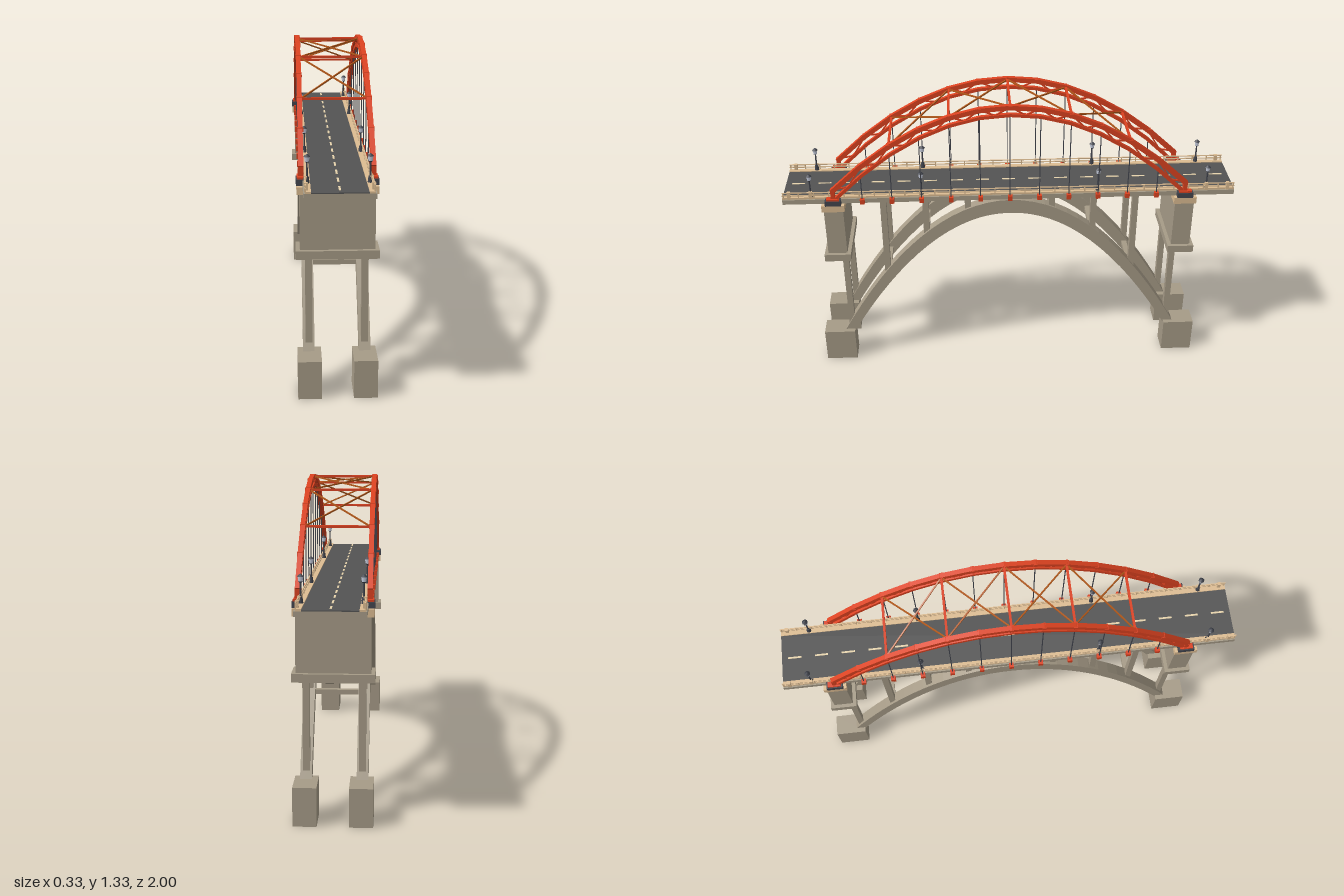
import * as THREE from 'three';

const mat = (name, color) => {
  const m = new THREE.MeshStandardMaterial({ color });
  m.name = name;
  return m;
};

export function createModel() {
  const concrete = mat('concrete', 0xa69b87);
  const asphalt = mat('asphalt', 0x535353);
  const sandstone = mat('sandstone', 0xdcbc92);
  const red = mat('red steel', 0xdc4220);
  const brace = mat('brace steel', 0xb3591a);
  const dark = mat('dark metal', 0x42454e);
  const paint = mat('road paint', 0xe6d3ac);
  const glass = mat('lamp glass', 0xd3daec);

  const root = new THREE.Group();
  root.name = 'archBridge';
  const add = (name, geo, material, x = 0, y = 0, z = 0, parent = root) => {
    const m = new THREE.Mesh(geo, material);
    m.name = name;
    m.position.set(x, y, z);
    parent.add(m);
    return m;
  };
  // box given by width, bottom, top, depth
  const block = (name, material, x, z, w, y0, y1, d) =>
    add(name, new THREE.BoxGeometry(w, y1 - y0, d), material, x, (y0 + y1) / 2, z);
  // square bar between two points
  const bar = (name, material, a, b, t) => {
    const p = new THREE.Vector3(...a), q = new THREE.Vector3(...b);
    const mid = p.clone().add(q).multiplyScalar(0.5);
    const m = add(name, new THREE.BoxGeometry(t, t, p.distanceTo(q)), material, mid.x, mid.y, mid.z);
    m.lookAt(q);
  };
  // curved rib following a parabola, with its depth given at crown and foot
  const parabola = (span, base, crown) => z => base + (crown - base) * (1 - (z / span) ** 2);
  const rib = (name, material, x, span, f, crownDepth, footDepth, width, n) => {
    const outer = [], inner = [];
    for (let i = 0; i <= n; i++) {
      const z = -span + 2 * span * i / n;
      const slope = (f(z + 0.001) - f(z - 0.001)) / 0.002;
      const depth = crownDepth + (footDepth - crownDepth) * Math.abs(z / span);
      const k = depth / 2 / Math.hypot(1, slope);
      outer.push(new THREE.Vector2(z - slope * k, f(z) + k));
      inner.push(new THREE.Vector2(z + slope * k, f(z) - k));
    }
    const geo = new THREE.ExtrudeGeometry(new THREE.Shape([...inner, ...outer.reverse()]),
      { depth: width, bevelEnabled: false });
    geo.translate(0, 0, -width / 2).rotateY(-Math.PI / 2);
    add(name, geo, material, x);
  };

  const lower = parabola(0.76, 0.155, 0.825);
  const topChord = parabola(0.78, 0.926, 1.316);
  const lowChord = parabola(0.77, 0.885, 1.28);
  const sides = [-1, 1];

  // deck, roadway and centre line
  block('deckSlab', concrete, 0, 0, 0.27, 0.861, 0.883, 2);
  block('roadway', asphalt, 0, 0, 0.214, 0.883, 0.887, 2);
  for (let i = -8; i <= 8; i++) block('laneDash', paint, 0, i * 0.118, 0.008, 0.887, 0.889, 0.058);

  // end piers
  for (const e of sides) {
    const z = e * 0.78;
    block('pierFootSlab', concrete, 0, z, 0.326, 0.572, 0.606, 0.118);
    block('pierShaft', concrete, 0, z, 0.294, 0.606, 0.83, 0.085);
    block('pierCap', sandstone, 0, z, 0.316, 0.83, 0.861, 0.1);
  }

  // struts between the concrete arches
  for (const z of [-0.5625, -0.375, -0.1875, 0, 0.1875, 0.375, 0.5625])
    block('archStrut', concrete, 0, z, 0.19, lower(z) - 0.004, lower(z) + 0.016, 0.024);

  for (const s of sides) {
    // concrete arch, columns and footings
    rib('concreteArch', concrete, s * 0.113, 0.775, lower, 0.068, 0.042, 0.047, 32);
    for (const e of sides) {
      block('footing', concrete, s * 0.111, e * 0.81, 0.095, 0, 0.16, 0.142);
      block('pierColumn', concrete, s * 0.112, e * 0.751, 0.028, 0.19, 0.572, 0.027);
      for (const z of [0.1875, 0.375, 0.5625])
        block('archColumn', concrete, s * 0.112, e * z, 0.028, lower(z), 0.862, 0.027);
    }

    // steel arch: two faceted chords joined by zigzag webbing
    const x = s * 0.14;
    rib('upperChord', red, x, 0.78, topChord, 0.021, 0.021, 0.02, 12);
    rib('lowerChord', red, x, 0.77, lowChord, 0.014, 0.014, 0.017, 12);
    for (let i = -12; i < 12; i++) {
      const za = i * 0.0642, zb = (i + 1) * 0.0642;
      const up = i % 2 === 0;
      bar('chordWeb', red, [x, (up ? topChord : lowChord)(za), za],
        [x, (up ? lowChord : topChord)(zb), zb], 0.006);
    }
    for (const e of sides) {
      block('archFootPost', red, x, e * 0.776, 0.021, 0.88, 0.93, 0.018);
      block('archShoe', red, s * 0.144, e * 0.778, 0.024, 0.885, 0.893, 0.056);
      block('archBearing', dark, s * 0.144, e * 0.778, 0.032, 0.861, 0.885, 0.07);
    }
    // hangers with their anchors and chord clamps
    for (let k = -5; k <= 5; k++) {
      const z = k * 0.13;
      block('hanger', dark, x, z, 0.004, 0.87, lowChord(z), 0.004);
      block('hangerAnchor', red, s * 0.142, z, 0.02, 0.863, 0.885, 0.02);
      block('chordClamp', red, x, z, 0.025, topChord(z) - 0.009, topChord(z) + 0.009, 0.016);
    }

    // kerb and railing
    block('kerb', sandstone, s * 0.118, 0, 0.022, 0.883, 0.891, 2);
    for (const y of [0.901, 0.914])
      block('rail', sandstone, s * 0.127, 0, 0.005, y - 0.002, y + 0.002, 2);
    for (let i = -15; i <= 15; i++)
      block('railPost', sandstone, s * 0.127, i * 0.0663, 0.005, 0.883, 0.916, 0.005);
    for (const z of [-0.97, -0.875, 0.875, 0.97])
      block('parapetPost', sandstone, s * 0.125, z, 0.014, 0.883, 0.918, 0.014);

    // street lamps
    for (const z of [-0.875, -0.39, 0.39, 0.875]) {
      const lamp = new THREE.Group();
      lamp.name = 'streetLamp';
      lamp.position.set(s * 0.119, 0.885, z);
      root.add(lamp);
      const part = (name, m, r0, r1, h, y) =>
        add(name, new THREE.CylinderGeometry(r1, r0, h, 8), m, 0, y + h / 2, 0, lamp);
      part('lampBase', dark, 0.011, 0.007, 0.03, 0);
      part('lampPole', dark, 0.004, 0.003, 0.056, 0.03);
      part('lampCollar', dark, 0.004, 0.009, 0.005, 0.084);
      part('lampLantern', glass, 0.008, 0.011, 0.018, 0.089);
      part('lampRoof', dark, 0.013, 0.003, 0.01, 0.107);
    }
  }

  // overhead portals and crossed wind bracing
  for (let k = -2; k <= 2; k++) {
    const z = k * 0.26, y = topChord(z);
    block('portalBeam', red, 0, z, 0.27, y - 0.005, y + 0.005, 0.01);
    if (k === 2) continue;
    const zn = z + 0.26, yn = topChord(zn);
    for (const s of sides)
      bar('windBrace', brace, [-s * 0.135, y, z], [s * 0.135, yn, zn], 0.006);
  }
  return root;
}
